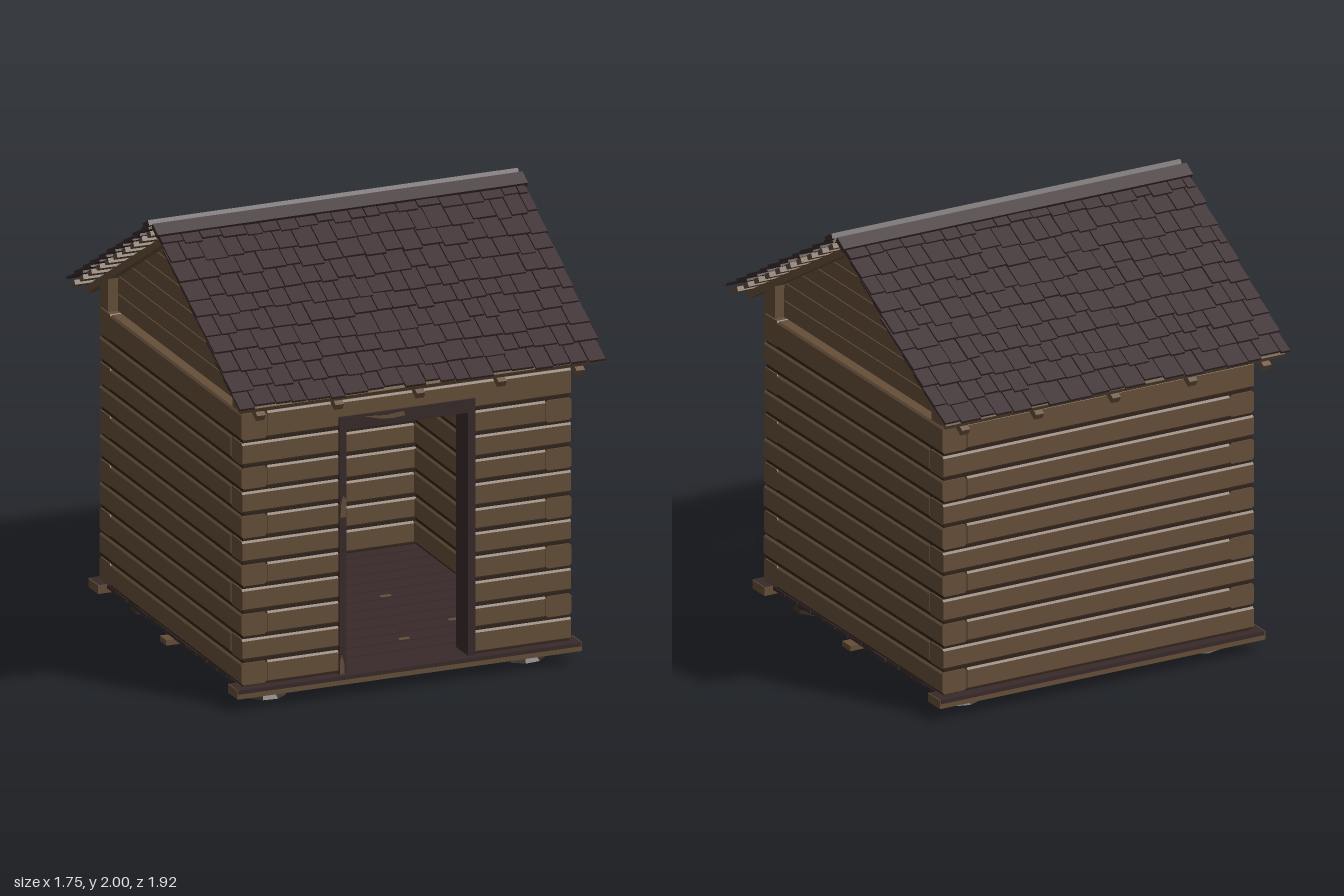
import * as THREE from 'three';
import { mergeGeometries } from 'three/addons/utils/BufferGeometryUtils.js';

const material = (name, color) => {
  const m = new THREE.MeshStandardMaterial({ color });
  m.name = name;
  return m;
};

export function createModel() {
  const root = new THREE.Group();
  root.name = 'logCabin';
  const wood = material('brown wood', 0x664f39);
  const dark = material('dark painted wood', 0x392a2b);
  const shingleMat = material('roof shingles', 0x38292b);
  const seam = material('seam brown', 0x30241b);
  const stone = material('dark stone', 0x33281f);

  let seed = 7;
  const rand = () => (seed = (seed * 16807) % 2147483647) / 2147483647;
  const jitter = (a) => (rand() - 0.5) * 2 * a;

  const add = (parent, name, geo, mat) => {
    const mesh = new THREE.Mesh(geo, mat);
    mesh.name = name;
    parent.add(mesh);
    return mesh;
  };
  // Box given by its minimum and maximum on each axis
  const span = (x0, x1, y0, y1, z0, z1) => new THREE.BoxGeometry(x1 - x0, y1 - y0, z1 - z0)
    .translate((x0 + x1) / 2, (y0 + y1) / 2, (z0 + z1) / 2);
  const polygon = (pts) => new THREE.Shape(pts.map((p) => new THREE.Vector2(...p)));
  const extrude = (pts, depth) => new THREE.ExtrudeGeometry(polygon(pts), { depth, bevelEnabled: false });

  // Walls: chamfered logs laid in a pinwheel that reverses every row
  const IN = 0.66, OUT = 0.78, DOOR = 0.295;
  const levels = [0.1, 0.215, 0.325, 0.44, 0.555, 0.665, 0.775, 0.89, 1.0, 1.11, 1.225, 1.36];
  const log = (x0, x1, y0, y1) => {
    const c = 0.009, b = y0 + 0.007, t = y1 - 0.007;
    const pts = [[-OUT, b + c], [-OUT + c, b], [-IN - c, b], [-IN, b + c],
      [-IN, t - c], [-IN - c, t], [-OUT + c, t], [-OUT, t - c]];
    // profile x becomes -z, so the log lies in the front wall
    return extrude(pts, x1 - x0 - 0.005).rotateY(Math.PI / 2).translate(x0 + 0.0025, 0, 0);
  };
  const wallNames = ['frontWall', 'leftWall', 'backWall', 'rightWall'];
  wallNames.forEach((name, side) => {
    const wall = new THREE.Group();
    wall.name = name;
    wall.rotation.y = side * Math.PI / 2;
    root.add(wall);
    const logs = [], seams = [];
    for (let i = 0; i < 11; i++) {
      const x0 = i % 2 ? -OUT : -IN, x1 = i % 2 ? IN : OUT;
      const split = side === 0 && i < 10;
      const parts = split ? [[x0, -DOOR], [DOOR, x1]] : [[x0, x1]];
      for (const [a, b] of parts) logs.push(log(a, b, levels[i], levels[i + 1]));
      // recessed chinking under each log
      const e = OUT - 0.009, y = levels[i] + jitter(0.002);
      const strips = split ? [[-e, -DOOR], [DOOR, e]] : [[-e, e]];
      for (const [a, b] of strips) seams.push(span(a, b, y - (i ? 0.014 : 0), y + 0.014, IN + 0.009, e));
    }
    add(wall, name + 'Logs', mergeGeometries(logs), wood);
    add(wall, name + 'Chinking', mergeGeometries(seams), seam);
  });

  // Door frame lining the opening
  const frame = new THREE.Group();
  frame.name = 'doorFrame';
  root.add(frame);
  for (const s of [-1, 1]) {
    const x0 = Math.min(s * 0.287, s * 0.322), x1 = Math.max(s * 0.287, s * 0.322);
    add(frame, 'doorJamb', span(x0, x1, 0.1, 1.225, IN - 0.006, OUT + 0.008), dark);
    for (const y of [0.22, 0.67, 1.15]) {
      add(frame, 'nail', new THREE.CylinderGeometry(0.006, 0.006, 0.004, 8)
        .rotateX(Math.PI / 2).translate(s * 0.305, y, OUT + 0.009), stone);
    }
  }
  add(frame, 'doorLintel', span(-0.322, 0.322, 1.22, 1.28, IN - 0.006, OUT + 0.01), dark);
  // Worn paint on the frame
  const worn = (pts) => add(frame, 'wornPaint', extrude(pts, 0.003).translate(0, 0, OUT + 0.009), wood);
  worn([[-0.2, 1.27], [-0.13, 1.25], [-0.07, 1.245], [-0.01, 1.25], [-0.02, 1.27], [-0.1, 1.262]]);
  worn([[-0.321, 0.1], [-0.3, 0.1], [-0.3, 0.15], [-0.312, 0.19], [-0.321, 0.16]]);
  worn([[-0.318, 0.82], [-0.292, 0.82], [-0.29, 0.9], [-0.305, 0.92], [-0.315, 0.88]]);

  // Floor: three bearers along x with planks over them
  const floor = new THREE.Group();
  floor.name = 'floor';
  root.add(floor);
  for (const [z0, z1] of [[0.71, 0.815], [-0.035, 0.035], [-0.815, -0.71]]) {
    add(floor, 'floorBearer', span(-0.815, 0.815, 0.06, z0 * z1 < 0 ? 0.085 : 0.1, z0, z1), wood);
  }
  for (const s of [-1, 1]) {
    add(floor, 'bearerEdge', span(-0.81, 0.81, 0.083, 0.101, s * 0.765 - 0.053, s * 0.765 + 0.053), dark);
  }
  const planks = [], pitch = 1.42 / 13;
  for (let i = 0; i < 13; i++) {
    const z = -0.71 + i * pitch;
    planks.push(span(-0.775 + jitter(0.004), 0.775 + jitter(0.004), 0.083, 0.1, z + 0.004, z + pitch - 0.004));
  }
  add(floor, 'floorPlanks', mergeGeometries(planks), dark);
  for (const [x, z] of [[0.1, 0.45], [-0.2, 0.2], [0.25, -0.1], [-0.35, -0.35], [0.4, 0.3], [0, -0.5]]) {
    add(floor, 'wornFloorPatch', span(x, x + 0.05, 0.082, 0.101, z, z + 0.025), wood);
  }

  // Feet: stacked rough stones under each corner
  for (const x of [-0.61, 0.61]) for (const z of [-0.61, 0.61]) {
    const foot = new THREE.Group();
    foot.name = 'stoneFoot';
    foot.position.set(x, 0, z);
    root.add(foot);
    [[0, 0.02, 0.085, 0.1], [0.018, 0.042, 0.11, 0.1], [0.04, 0.062, 0.075, 0.09]].forEach(([y0, y1, rt, rb]) => {
      const geo = new THREE.CylinderGeometry(rt, rb, y1 - y0, 9).rotateY(rand() * 6)
        .translate(jitter(0.008), (y0 + y1) / 2, jitter(0.008)).toNonIndexed();
      geo.computeVertexNormals();
      add(foot, 'stone', geo, stone);
    });
  }

  // Wall plates: top beams along x, cut to the roof slope
  const slope = Math.atan(0.589), apex = 1.95;
  for (const s of [-1, 1]) {
    const plate = add(root, 'wallPlate',
      extrude([[-0.772, 1.36], [-0.68, 1.36], [-0.68, 1.513], [-0.772, 1.46]], 1.56)
        .rotateY(Math.PI / 2).translate(-0.78, 0, 0), wood);
    plate.rotation.y = s > 0 ? 0 : Math.PI;
  }

  // Gables: boards narrowing to the ridge, with a dark core in the seams
  const under = (y) => Math.max(0.003, Math.min(0.69, (apex - 0.033 - y) / 0.589));
  const trapezoid = (y0, y1, depth) => extrude(
    [[-under(y0), y0], [under(y0), y0], [under(y1), y1], [-under(y1), y1]], depth).rotateY(Math.PI / 2);
  for (const s of [-1, 1]) {
    const gable = new THREE.Group();
    gable.name = s > 0 ? 'leftGable' : 'rightGable';
    gable.rotation.y = s > 0 ? 0 : Math.PI;
    root.add(gable);
    const boards = [];
    const rows = [1.36, 1.44, 1.525, 1.61, 1.69, 1.77, 1.85, 1.915];
    for (let i = 0; i < 7; i++) {
      boards.push(trapezoid(rows[i], rows[i + 1] - 0.004, 0.034).translate(0.7, 0, 0));
    }
    add(gable, 'gableBoards', mergeGeometries(boards), wood);
    add(gable, 'gableSeams', trapezoid(1.5, 1.91, 0.01).translate(0.712, 0, 0), seam);
    add(gable, 'gableSeams', span(0.712, 0.722, 1.36, 1.5, -0.68, 0.68), seam);
  }

  // Roof: each side is built flat, local z running down the slope
  for (const s of [1, -1]) {
    const side = new THREE.Group();
    side.name = s > 0 ? 'frontRoof' : 'backRoof';
    side.rotation.y = s > 0 ? 0 : Math.PI;
    root.add(side);
    const deck = new THREE.Group();
    deck.name = 'roofSlope';
    deck.position.y = apex;
    deck.rotation.x = slope;
    side.add(deck);
    for (const x of [-0.755, -0.385, 0, 0.385, 0.755]) {
      add(deck, 'rafter', span(x - 0.02, x + 0.02, -0.032, 0, 0, 1.09), wood);
    }
    const shingles = [], tilt = 0.09;
    for (let i = 0; i < 10; i++) {
      const end = 1.075 - i * 0.107;
      add(deck, 'batten', span(-0.85, 0.85, 0, 0.022, end - 0.055, end - 0.01), wood);
      let x = -0.868 + jitter(0.006);
      while (x < 0.85) {
        let w = 0.065 + rand() * 0.05;
        if (x + w > 0.83) w = 0.868 - x + jitter(0.006);
        const tip = end + jitter(0.013);
        const length = Math.min(0.2, tip - 0.01);
        shingles.push(new THREE.BoxGeometry(w - 0.005, 0.011, length)
          .translate(0, 0.0055, -length / 2).rotateX(-tilt)
          .translate(x + w / 2, 0.04 + jitter(0.0015), tip));
        x += w;
      }
    }
    add(deck, 'shingles', mergeGeometries(shingles), shingleMat);
    add(deck, 'ridgeBoard', span(-0.875, 0.875, 0.036, 0.06, -0.005, 0.062), dark);
  }
  return root;
}
